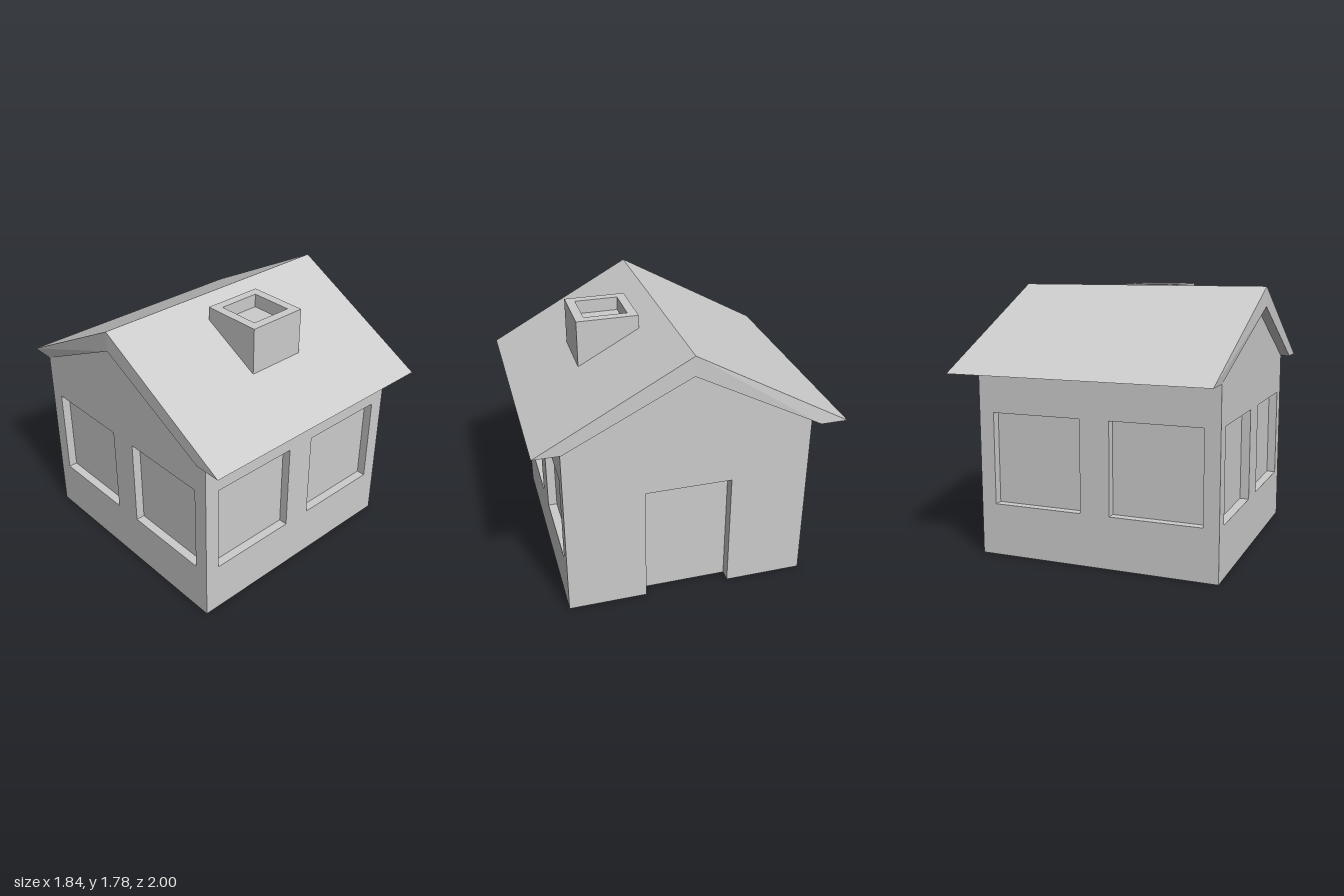
import * as THREE from 'three';

const material = new THREE.MeshStandardMaterial({ color: 0xcccccc, flatShading: true });
const CX = -0.0325;           // middle of the house body in x
const HALF_X = 0.8225, HALF_Z = 0.82;
const EAVE = 1.235, PEAK = 1.647, TOP = 1.78;
const WINDOW = 0.06, DOOR = 0.08;   // recess depths

const polygon = (Type, pts) => new Type(pts.map(([x, y]) => new THREE.Vector2(x, y)));
const rect = (Type, x0, y0, x1, y1) => polygon(Type, [[x0, y0], [x1, y0], [x1, y1], [x0, y1]]);
const extrude = (shape, depth) => new THREE.ExtrudeGeometry(shape, { depth, bevelEnabled: false });

function add(group, name, geometry, x = 0, y = 0, z = 0) {
  const mesh = new THREE.Mesh(geometry, material);
  mesh.name = name;
  mesh.position.set(x, y, z);
  group.add(mesh);
}

// two square openings, mirrored about the wall's middle
function windowHoles(shape) {
  for (const c of [-0.41, 0.41]) {
    shape.holes.push(rect(THREE.Path, c - 0.309, 0.35, c + 0.309, 0.967));
  }
  return shape;
}

// gable outline, optionally with a doorway cut up from the ground
function gable(half, door = false) {
  const shoulder = EAVE + (HALF_Z - half) * (PEAK - EAVE) / HALF_Z;
  const pts = [[half, 0], [half, shoulder], [0, PEAK], [-half, shoulder], [-half, 0]];
  if (door) pts.push([-0.29, 0], [-0.29, 0.827], [0.29, 0.827], [0.29, 0]);
  return polygon(THREE.Shape, pts);
}

// chevron roof whose rear slope is sheared sideways towards its eave
function roofGeometry() {
  const section = [[0, TOP], [1, EAVE], [HALF_Z, EAVE], [0, PEAK], [-HALF_Z, EAVE], [-1, EAVE]];
  const [l, r] = [-0.92, 0.853].map(x =>
    section.map(([z, y]) => [x + (z < 0 ? 0.065 : 0), y, z]));
  const positions = [];
  const quad = (a, b, c, d) => positions.push(...a, ...b, ...c, ...a, ...c, ...d);
  for (let i = 0; i < 6; i++) {
    const j = (i + 1) % 6;
    quad(l[i], l[j], r[j], r[i]);
  }
  // end caps, one per slope
  quad(r[3], r[0], r[1], r[2]);
  quad(r[0], r[3], r[4], r[5]);
  quad(l[0], l[3], l[2], l[1]);
  quad(l[3], l[0], l[5], l[4]);
  const g = new THREE.BufferGeometry();
  g.setAttribute('position', new THREE.Float32BufferAttribute(positions, 3));
  g.computeVertexNormals();
  return g;
}

export function createModel() {
  const house = new THREE.Group();
  house.name = 'house';
  const x0 = CX - HALF_X + WINDOW, x1 = CX + HALF_X - DOOR;

  // solid core: forms the recessed window panes and the door leaf
  add(house, 'core', extrude(gable(HALF_Z - WINDOW), x1 - x0).rotateY(Math.PI / 2), x0);

  // gable walls
  add(house, 'doorWall', extrude(gable(HALF_Z, true), DOOR).rotateY(Math.PI / 2), x1);
  add(house, 'windowGableWall',
    extrude(windowHoles(gable(HALF_Z)), WINDOW).rotateY(Math.PI / 2), CX - HALF_X);

  // long walls between the gables
  const longWall = extrude(windowHoles(rect(THREE.Shape, x0 - CX, 0, x1 - CX, EAVE)), WINDOW);
  add(house, 'frontWall', longWall, CX, 0, HALF_Z - WINDOW);
  add(house, 'backWall', longWall, CX, 0, -HALF_Z);

  add(house, 'roof', roofGeometry());

  // hollow square chimney on the front slope
  const tube = rect(THREE.Shape, -0.205, -0.205, 0.205, 0.205);
  tube.holes.push(rect(THREE.Path, -0.144, -0.144, 0.144, 0.144));
  const chimney = new THREE.Group();
  chimney.name = 'chimney';
  chimney.position.set(-0.034, 0, 0.369);
  add(chimney, 'chimneyWalls', extrude(tube, TOP - 1.4).rotateX(-Math.PI / 2), 0, 1.4);
  add(chimney, 'chimneyFloor', new THREE.BoxGeometry(0.3, 0.29, 0.3), 0, 1.545);
  house.add(chimney);

  return house;
}
